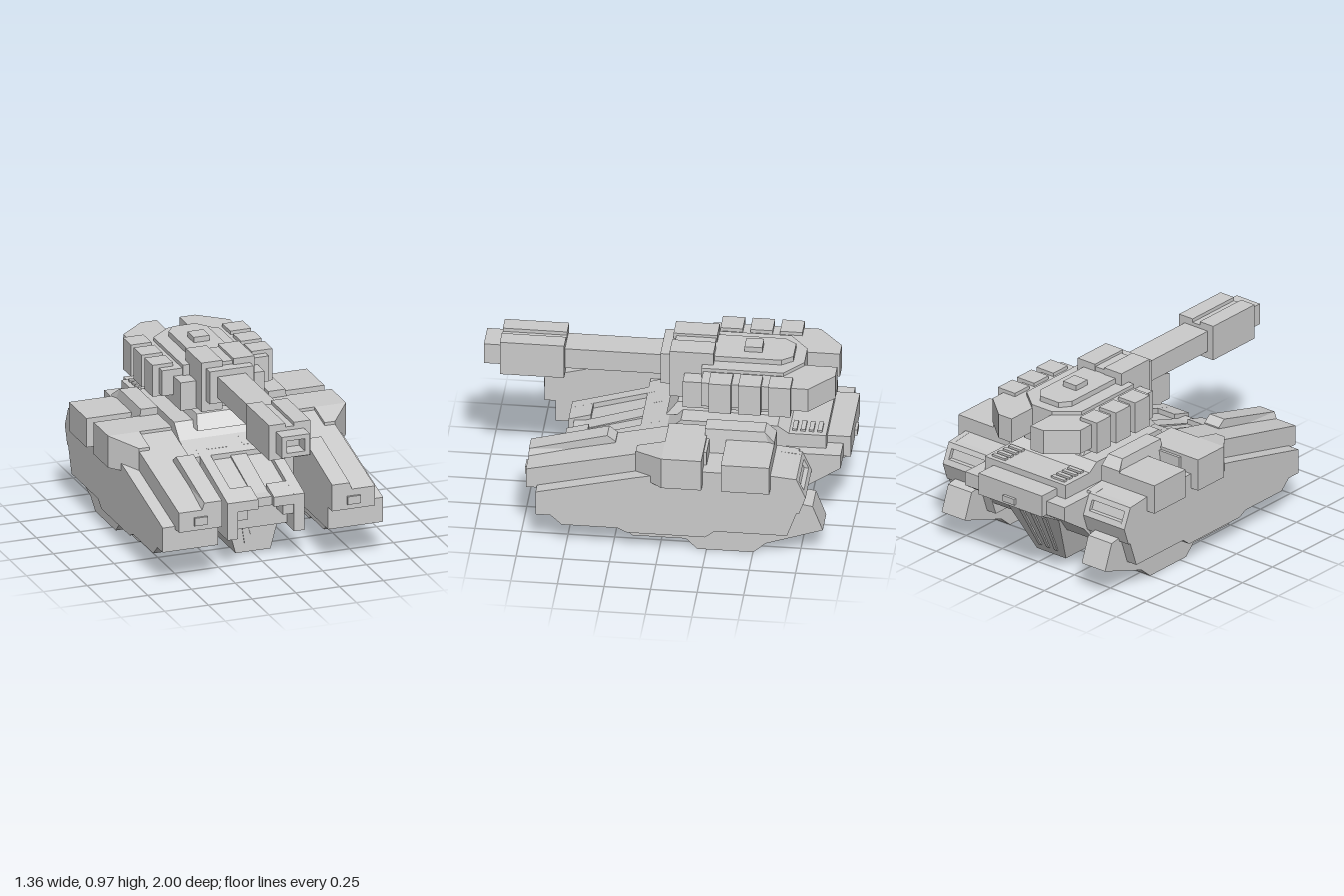
import * as THREE from 'three';

const mat = new THREE.MeshStandardMaterial({ color: 0xcccccc, flatShading: true });

export function createModel() {
  const root = new THREE.Group();
  root.name = 'hoverTank';
  const add = (name, geo) => {
    const m = new THREE.Mesh(geo, mat);
    m.name = name;
    root.add(m);
    return m;
  };
  const shape = (pts) => new THREE.Shape(pts.map((p) => new THREE.Vector2(p[0], p[1])));
  const extrude = (pts, depth) => new THREE.ExtrudeGeometry(shape(pts), { depth, bevelEnabled: false });

  // Side profile of [z, y] points, spanning x0..x1; rule may move the vertices
  const profile = (name, pts, x0, x1, rule) => {
    const g = extrude(pts.map(([z, y]) => [-z, y]), x1 - x0).rotateY(Math.PI / 2).translate(x0, 0, 0);
    if (rule) {
      const p = g.attributes.position;
      for (let i = 0; i < p.count; i++) p.setX(i, rule(p.getX(i), p.getY(i), p.getZ(i)));
      g.computeVertexNormals();
    }
    return add(name, g);
  };
  // Same profile on both sides
  const pair = (name, pts, x0, x1, rule) => {
    profile(name + 'Left', pts, x0, x1, rule);
    profile(name + 'Right', pts, -x1, -x0, rule && ((x, y, z) => -rule(-x, y, z)));
  };
  // Plan outline of [x, z] points, spanning y0..y1
  const plan = (name, pts, y0, y1) =>
    add(name, extrude(pts.map(([x, z]) => [x, -z]), y1 - y0).rotateX(-Math.PI / 2).translate(0, y0, 0));
  const box = (name, x0, x1, y0, y1, z0, z1) =>
    add(name, new THREE.BoxGeometry(x1 - x0, y1 - y0, z1 - z0)
      .translate((x0 + x1) / 2, (y0 + y1) / 2, (z0 + z1) / 2));
  const boxes = (name, x0, x1, ...r) => {
    box(name + 'Left', x0, x1, ...r);
    box(name + 'Right', -x1, -x0, ...r);
  };

  // --- Central hull ---
  profile('hullBody', [[0.15, 0.22], [0.15, 0.495], [-0.84, 0.5], [-0.945, 0.5], [-0.945, 0.42], [-0.78, 0.31], [-0.7, 0.22]], -0.345, 0.345);
  profile('upperDeck', [[0.15, 0.45], [0.15, 0.5], [0, 0.545], [-0.08, 0.622], [-0.6, 0.622], [-0.66, 0.58], [-0.86, 0.58], [-0.86, 0.45]], -0.28, 0.28);
  profile('turretBase', [[0.01, 0.59], [-0.05, 0.664], [-0.54, 0.664], [-0.6, 0.61]], -0.18, 0.18,
    (x, y) => x * (y > 0.65 ? 0.9 : 1));
  box('rearBumper', -0.22, 0.22, 0.42, 0.545, -0.985, -0.8);
  box('rearLamp', -0.04, 0.04, 0.44, 0.475, -1, -0.98);
  for (let i = 0; i < 4; i++) {
    boxes('deckLouvre', 0.16, 0.25, 0.575, 0.592, -0.7 - i * 0.045, -0.675 - i * 0.045);
  }

  // Nose with sunken panels on the slope and an opening below
  pair('noseCheek', [[0.56, 0.17], [0.56, 0.38], [0, 0.545], [0, 0.17]], 0.16, 0.22);
  pair('nosePanel', [[0.56, 0.325], [0.56, 0.38], [0.44, 0.415], [0.44, 0.385], [0.1, 0.486], [0.1, 0.516], [0, 0.545], [0, 0.325]], 0.045, 0.16);
  profile('noseSpine', [[0.53, 0.325], [0.53, 0.375], [0.47, 0.38], [0.1, 0.5], [0, 0.54], [0, 0.325]], -0.045, 0.045);
  box('noseInterior', -0.16, 0.16, 0.18, 0.33, 0, 0.45);
  boxes('noseBracket', 0.1, 0.16, 0.27, 0.33, 0.43, 0.55);

  // Keel that narrows downward, with a slatted rear face
  profile('keel', [[0.365, 0.01], [0.365, 0.215], [0.1, 0.3], [-0.7, 0.42], [-0.98, 0.42], [-0.8, 0.32], [-0.64, 0.01]], -1, 1,
    (x, y) => x * (0.1 + (y - 0.01) * 0.27));
  add('keelIntake', extrude([[-0.07, 0.19], [-0.05, 0.06], [0.05, 0.06], [0.07, 0.19]], 0.01).translate(0, 0, 0.36));
  add('keelLamp', extrude([[-0.032, 0.16], [-0.018, 0.11], [0.018, 0.11], [0.032, 0.16]], 0.01).translate(0, 0, 0.364));
  for (let i = -1; i <= 1; i++) {
    profile('rearSlat', [[-0.66, 0.06], [-0.672, 0.055], [-0.799, 0.3], [-0.785, 0.3]], i * 0.08 - 0.015, i * 0.08 + 0.015,
      (x, y) => x * (0.62 + y * 1.2));
  }

  // --- Side pods ---
  pair('podUpper', [[0.72, 0.32], [0.72, 0.432], [-0.02, 0.605], [-0.25, 0.605], [-0.25, 0.525], [-0.6, 0.525], [-0.72, 0.512], [-0.765, 0.4], [-0.74, 0.32]], 0.315, 0.56);
  pair('podLower', [[0.66, 0.195], [0.66, 0.325], [-0.75, 0.325], [-0.69, 0.155], [-0.3, 0.155], [-0.25, 0.115], [0.17, 0.115], [0.22, 0.14], [0.52, 0.14], [0.58, 0.195]], 0.345, 0.63);
  pair('podInnerSkirt', [[0.66, 0.195], [0.66, 0.325], [-0.72, 0.325], [-0.66, 0.195]], 0.315, 0.345);
  pair('podRidge', [[0.72, 0.4], [0.72, 0.47], [0.3, 0.582], [0.255, 0.548], [0.255, 0.5]], 0.315, 0.44,
    (x, y) => (x > 0.4 && y > 0.46 ? x - 0.025 : x));
  // Outer shoulder ledge below the narrower nose
  pair('podLedge', [[0.66, 0.3], [0.66, 0.335], [0.13, 0.462], [0, 0.49], [-0.05, 0.525], [-0.6, 0.525], [-0.72, 0.512], [-0.765, 0.4], [-0.74, 0.3]], 0.55, 0.63);
  // Cheek plate that flares from the nose out to the armour box
  pair('podFlare', [[0.13, 0.455], [0.13, 0.587], [-0.02, 0.622], [-0.02, 0.44], [0.05, 0.44]], 0.5, 0.68,
    (x, y, z) => (x > 0.6 ? 0.68 - 0.12 * (z + 0.02) / 0.15 : x));
  boxes('frontArmourBox', 0.315, 0.68, 0.44, 0.622, -0.235, -0.02);
  boxes('rearArmourBox', 0.42, 0.68, 0.44, 0.605, -0.6, -0.34);
  pair('podTopBlock', [[-0.225, 0.5], [-0.225, 0.662], [-0.545, 0.662], [-0.6, 0.615], [-0.6, 0.5]], 0.315, 0.437,
    (x, y) => (x > 0.4 && y > 0.65 ? 0.413 : x));
  boxes('headlamp', 0.4, 0.475, 0.35, 0.395, 0.7, 0.733);
  // Pod rear with a recessed slot between posts and lips
  const rearPost = [[-0.6, 0.3], [-0.6, 0.525], [-0.74, 0.512], [-0.79, 0.4], [-0.755, 0.3]];
  pair('rearPostInner', rearPost, 0.345, 0.375);
  pair('rearPostOuter', rearPost, 0.6, 0.63);
  pair('rearUpperLip', [[-0.7, 0.514], [-0.74, 0.512], [-0.752, 0.485], [-0.7, 0.485]], 0.375, 0.6);
  pair('rearLowerLip', [[-0.7, 0.43], [-0.777, 0.43], [-0.79, 0.4], [-0.755, 0.3], [-0.7, 0.3]], 0.375, 0.6);
  // Stepped skid with an upturned tail
  pair('skid', [[0.52, 0.2], [0.52, 0.138], [0.22, 0.138], [0.15, 0.06], [-0.14, 0.06], [-0.2, 0], [-0.5, 0], [-0.57, 0.06], [-0.875, 0.165], [-0.82, 0.31], [-0.7, 0.33], [-0.6, 0.25]], 0.405, 0.567);

  // --- Turret ---
  const octagon = (w, wb, front, mid, back) =>
    [[-w, front], [w, front], [w, mid], [wb, back], [-wb, back], [-w, mid]];
  plan('turretFloor', octagon(0.24, 0.13, -0.085, -0.6, -0.71), 0.68, 0.74);
  plan('turretBody', octagon(0.19, 0.07, -0.18, -0.62, -0.72), 0.74, 0.9);
  plan('turretRoof', octagon(0.11, 0.065, -0.2, -0.6, -0.66), 0.89, 0.93);
  box('roofHatch', -0.045, 0.045, 0.92, 0.96, -0.49, -0.395);
  boxes('frontShoulder', 0.1, 0.24, 0.68, 0.84, -0.2, -0.085);
  for (const s of [1, -1]) {
    plan(s > 0 ? 'rearLobeLeft' : 'rearLobeRight',
      [[0.065, -0.6], [0.065, -0.895], [0.155, -0.895], [0.305, -0.765], [0.305, -0.6]].map(([x, z]) => [x * s, z]), 0.74, 0.88);
  }
  boxes('sideRack', 0.17, 0.305, 0.735, 0.88, -0.62, -0.19);
  for (const z of [-0.355, -0.515, -0.675]) boxes('sideModule', 0.225, 0.343, 0.72, 0.9, z, z + 0.12);

  // --- Gun ---
  boxes('mantletCheek', 0.032, 0.152, 0.69, 0.97, -0.24, -0.005);
  box('mantletCore', -0.04, 0.04, 0.7, 0.955, -0.235, -0.02);
  box('barrelCollar', -0.125, 0.125, 0.75, 0.935, -0.02, 0.048);
  box('barrel', -0.08, 0.08, 0.78, 0.9, 0, 0.6);
  boxes('muzzleBrakeSide', 0.025, 0.118, 0.74, 0.94, 0.565, 0.91);
  box('muzzleBrakeCore', -0.026, 0.026, 0.76, 0.92, 0.565, 0.91);
  // Hollow square muzzle tip
  const tip = shape([[-0.08, 0.78], [0.08, 0.78], [0.08, 0.9], [-0.08, 0.9]]);
  tip.holes.push(new THREE.Path([[-0.052, 0.805], [-0.052, 0.875], [0.052, 0.875], [0.052, 0.805]].map((p) => new THREE.Vector2(...p))));
  add('muzzleTip', new THREE.ExtrudeGeometry(tip, { depth: 0.095, bevelEnabled: false }).translate(0, 0, 0.905));

  return root;
}
